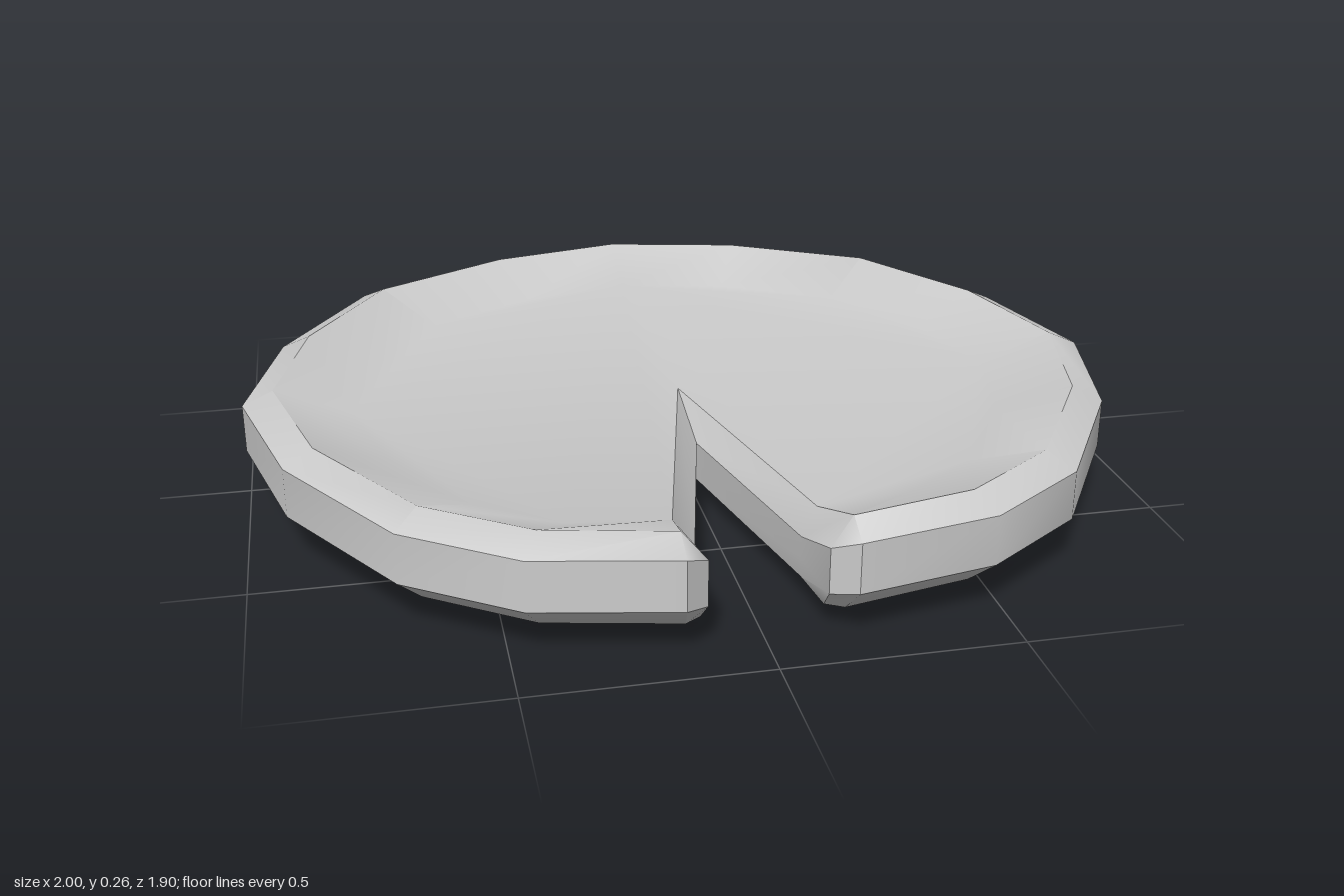
import * as THREE from 'three';
import { toCreasedNormals } from 'three/addons/utils/BufferGeometryUtils.js';

// Rim of the +x half, front to back: [x, z]
const RIM = [[0.47, 0.89], [0.70, 0.73], [0.91, 0.39], [1, 0.03], [0.91, -0.33], [0.70, -0.67], [0.35, -0.87]];
const BACK = [0, -0.95], CENTRE_Z = 0.03;

// Horizontal sections from the underside, over the raised rim, to the dished top.
// y, s: height and scale of the rim; notch: points [x, y, z] from the notch apex to the rim
const SECTIONS = [
  { y: 0, s: 0.77, notch: [[0, 0, 0.04], [0.13, 0, 0.6], [0.15, 0, 0.71], [0.16, 0, 0.735]] },
  { y: 0.055, s: 0.93, notch: [[0, 0.05, 0.25], [0.11, 0.05, 0.74], [0.125, 0.05, 0.86], [0.16, 0.055, 0.89]] },
  { y: 0.115, s: 1, notch: [[0, 0.09, 0.25], [0.11, 0.09, 0.74], [0.12, 0.1, 0.91], [0.17, 0.115, 0.95]] },
  { y: 0.225, s: 1, notch: [[0, 0.14, 0.25], [0.11, 0.14, 0.74], [0.12, 0.2, 0.91], [0.17, 0.225, 0.95]] },
  { y: 0.257, s: 0.93, notch: [[0, 0.19, 0.04], [0.15, 0.19, 0.71], [0.17, 0.257, 0.89], [0.17, 0.257, 0.89]] },
  { y: 0.19, s: 0.76, notch: [[0, 0.19, 0.04], [0.15, 0.19, 0.71], [0.15, 0.19, 0.71], [0.15, 0.19, 0.71]] },
];

// Closed loop of points for one section, counter-clockwise from above
function loop({ y, s, notch }) {
  const scaled = ([x, z]) => new THREE.Vector3(x * s, y, CENTRE_Z + (z - CENTRE_Z) * s);
  const [apex, ...edge] = notch.map((p) => new THREE.Vector3(...p));
  const half = [...edge, ...RIM.map(scaled)];
  const mirrored = half.map((p) => new THREE.Vector3(-p.x, p.y, p.z)).reverse();
  return [apex, ...half, scaled(BACK), ...mirrored];
}

// Skin over neighbouring loops, closed by a cap on the last (top) or first (underside) loop
function skin(name, rings, capTop, creaseDegrees) {
  const positions = [];
  const triangle = (a, b, c) => {
    const area = b.clone().sub(a).cross(c.clone().sub(a)).length();
    if (area > 1e-7) for (const p of [a, b, c]) positions.push(p.x, p.y, p.z);
  };

  for (let k = 0; k + 1 < rings.length; k++) {
    rings[k].forEach((a, i) => {
      const j = (i + 1) % rings[k].length;
      const c = rings[k + 1][j];
      triangle(a, rings[k][j], c);
      triangle(a, c, rings[k + 1][i]);
    });
  }

  const ring = capTop ? rings[rings.length - 1] : rings[0];
  const outline = ring.map((p) => new THREE.Vector2(p.x, -p.z));
  for (const [a, b, c] of THREE.ShapeUtils.triangulateShape(outline, [])) {
    if (capTop) triangle(ring[a], ring[b], ring[c]);
    else triangle(ring[a], ring[c], ring[b]);
  }

  const geometry = new THREE.BufferGeometry();
  geometry.setAttribute('position', new THREE.Float32BufferAttribute(positions, 3));
  const mesh = new THREE.Mesh(
    toCreasedNormals(geometry, THREE.MathUtils.degToRad(creaseDegrees)),
    new THREE.MeshStandardMaterial({ color: 0xcccccc }),
  );
  mesh.name = name;
  return mesh;
}

export function createModel() {
  const rings = SECTIONS.map(loop);
  const model = new THREE.Group();
  model.name = 'lilyPad';
  // Sides and underside, then the softer raised rim and dished top
  model.add(skin('sidesAndUnderside', rings.slice(0, 4), false, 28));
  model.add(skin('dishedTop', rings.slice(3), true, 46.5));
  return model;
}
